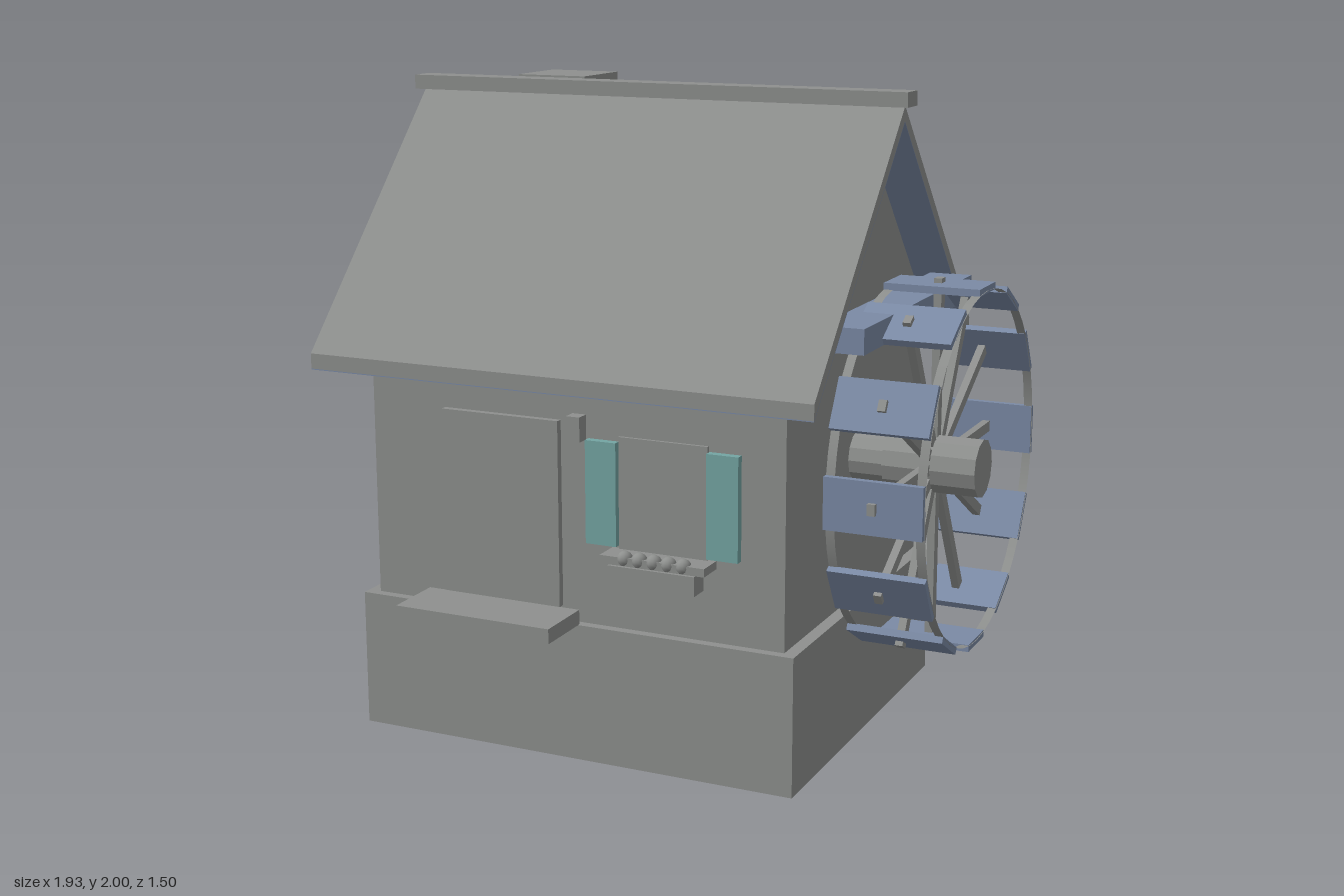
import * as THREE from 'three';

export function createModel() {
  const root = new THREE.Group();
  root.name = 'watermill';
  const mat = (name, color) => {
    const m = new THREE.MeshStandardMaterial({ color, side: THREE.DoubleSide });
    m.name = name;
    return m;
  };
  const grey = mat('stone grey', 0x8e908e);
  const blue = mat('slate blue', 0x7b8aa5);
  const teal = mat('shutter teal', 0x74a5a3);

  const add = (name, geo, material, parent = root) => {
    const mesh = new THREE.Mesh(geo, material);
    mesh.name = name;
    parent.add(mesh);
    return mesh;
  };
  // Box from its min and max along each axis
  const box = (name, x0, x1, y0, y1, z0, z1, material = grey, parent = root) => {
    const mesh = add(name, new THREE.BoxGeometry(x1 - x0, y1 - y0, z1 - z0), material, parent);
    mesh.position.set((x0 + x1) / 2, (y0 + y1) / 2, (z0 + z1) / 2);
    return mesh;
  };
  // Cross-section of [z, y] points swept along x
  const sweep = (name, pts, x0, x1, material) => {
    const shape = new THREE.Shape(pts.map(([z, y]) => new THREE.Vector2(-z, y)));
    const geo = new THREE.ExtrudeGeometry(shape, { depth: x1 - x0, bevelEnabled: false });
    geo.rotateY(Math.PI / 2);
    geo.translate(x0, 0, 0);
    return add(name, geo, material);
  };

  const ridgeZ = -0.04;

  // Foundation, open underneath
  const base = box('foundation', -0.85, 0.6, 0, 0.43, -0.65, 0.57);
  const index = Array.from(base.geometry.index.array);
  index.splice(18, 6);
  base.geometry.setIndex(index);
  base.geometry.clearGroups();

  // House walls with gables
  sweep('walls', [[0.54, 0.43], [0.54, 1.288], [ridgeZ, 1.908], [-0.615, 1.293], [-0.615, 0.43]],
    -0.81, 0.56, grey);

  // Pitched roof with a lining on its underside
  const chevron = (eaveTop, eaveBottom, top, bottom) => [
    [ridgeZ + 0.705, eaveBottom], [ridgeZ + 0.705, eaveTop], [ridgeZ, top],
    [ridgeZ - 0.705, eaveTop], [ridgeZ - 0.705, eaveBottom], [ridgeZ, bottom]];
  sweep('roof', chevron(1.205, 1.158, 1.957, 1.912), -0.95, 0.69, grey);
  sweep('roofLining', chevron(1.158, 1.155, 1.912, 1.909), -0.95, 0.69, blue);
  box('ridgeCap', -0.965, 0.712, 1.955, 2, -0.083, 0.003);

  // Chimney
  box('chimneyShaft', -0.65, -0.45, 1.5, 1.96, -0.37, -0.175);
  box('chimneyCap', -0.67, -0.43, 1.96, 2, -0.39, -0.155);

  // Door, step and lamp
  box('door', -0.555, -0.16, 0.475, 1.05, 0.53, 0.562);
  box('doorStep', -0.615, -0.095, 0.429, 0.475, 0.56, 0.755);
  box('lamp', -0.108, -0.064, 1.005, 1.08, 0.562, 0.605);

  // Window, shutters, sill and flower box
  box('windowPane', 0.035, 0.32, 0.68, 1.02, 0.53, 0.55);
  for (const x of [-0.065, 0.325]) box('shutter', x, x + 0.1, 0.69, 1.005, 0.545, 0.57, teal);
  box('windowSill', 0.01, 0.345, 0.655, 0.68, 0.54, 0.628);
  box('flowerBox', 0.04, 0.318, 0.595, 0.655, 0.57, 0.638);
  for (let i = 0; i < 5; i++) {
    add('flower', new THREE.SphereGeometry(0.024, 10, 8), grey)
      .position.set(0.085 + i * 0.047, 0.673, 0.612);
  }

  // Flume beam behind the wheel
  box('flumeBeam', 0.62, 0.755, 1.307, 1.382, -0.54, 0.457, blue);

  // Water wheel
  const wheel = new THREE.Group();
  wheel.name = 'waterWheel';
  wheel.position.set(0.81, 0.885, ridgeZ);
  root.add(wheel);
  const drum = (name, r, x0, x1, sides, open = false) => {
    const geo = new THREE.CylinderGeometry(r, r, x1 - x0, sides, 1, open);
    geo.rotateZ(Math.PI / 2);
    const mesh = add(name, open ? geo : geo.toNonIndexed(), grey, wheel);
    if (!open) mesh.geometry.computeVertexNormals();
    mesh.position.x = (x0 + x1) / 2;
  };
  drum('axle', 0.077, -0.3, -0.14, 12);
  drum('hub', 0.09, -0.14, 0.152, 12);
  drum('innerRim', 0.542, -0.147, -0.12, 48, true);
  drum('outerRim', 0.542, 0.123, 0.15, 48, true);
  for (let i = 0; i < 12; i++) {
    const arm = new THREE.Group();
    arm.name = 'wheelArm';
    arm.rotation.x = i * Math.PI / 6;
    wheel.add(arm);
    box('spoke', -0.012, 0.012, 0, 0.57, -0.017, 0.017, grey, arm);
    box('paddle', -0.148, 0.148, 0.534, 0.556, -0.078, 0.078, blue, arm);
  }
  return root;
}
